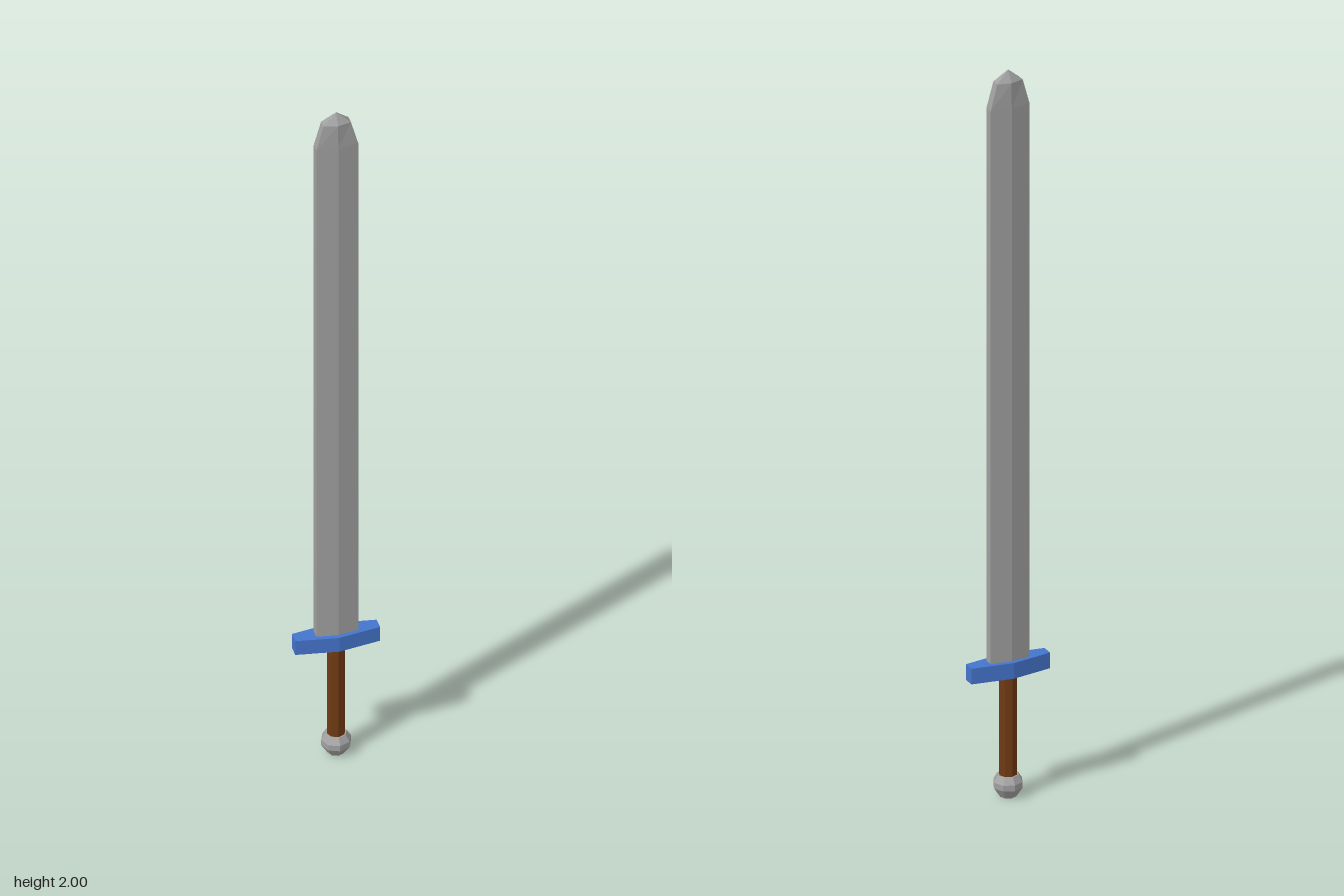
import * as THREE from 'three';

// Six-sided section: half width w, edge half depth e, centre half depth d
const hexRing = (y, w, e, d) =>
  [[0, d], [w, e], [w, -e], [0, -d], [-w, -e], [-w, e]].map(([x, z]) => [x, y, z]);

// Joins six-sided sections from bottom to top and closes both ends
function loft(rings) {
  const pos = [];
  const tri = (a, b, c) => pos.push(...a, ...b, ...c);
  for (let i = 0; i < rings.length - 1; i++) {
    const low = rings[i], high = rings[i + 1];
    for (let k = 0; k < 6; k++) {
      const n = (k + 1) % 6;
      tri(low[k], low[n], high[n]);
      tri(low[k], high[n], high[k]);
    }
  }
  const bottom = rings[0], top = rings[rings.length - 1];
  for (let k = 1; k < 5; k++) {
    tri(bottom[0], bottom[k + 1], bottom[k]);
    tri(top[0], top[k], top[k + 1]);
  }
  const geometry = new THREE.BufferGeometry();
  geometry.setAttribute('position', new THREE.Float32BufferAttribute(pos, 3));
  geometry.computeVertexNormals();
  return geometry;
}

export function createModel() {
  const sword = new THREE.Group();
  sword.name = 'sword';
  const material = (name, color) =>
    new THREE.MeshStandardMaterial({ name, color, flatShading: true });
  const steel = material('steel', 0xa0a0a0);
  const blue = material('blue', 0x4474cc);
  const brown = material('brown leather', 0x6e3a14);

  const add = (name, geometry, mat) => {
    const mesh = new THREE.Mesh(geometry, mat);
    mesh.name = name;
    sword.add(mesh);
    return mesh;
  };

  // Blade with a central ridge, tapering in two steps to a point
  add('blade', loft([
    hexRing(0.375, 0.055, 0.012, 0.021),
    hexRing(1.9, 0.055, 0.012, 0.021),
    hexRing(1.97, 0.036, 0.011, 0.02),
    hexRing(2, 0.0005, 0.0002, 0.0005),
  ]), steel);

  // Crossguard, thickest in the middle
  add('crossguard', loft([
    hexRing(0.334, 0.111, 0.016, 0.033),
    hexRing(0.377, 0.111, 0.016, 0.033),
  ]), blue);

  // Eight-sided grip
  add('grip', new THREE.CylinderGeometry(0.024, 0.024, 0.28, 8), brown).position.y = 0.195;

  // Faceted pommel
  const profile = [[0, 0], [0.022, 0], [0.039, 0.026], [0.039, 0.042], [0.028, 0.06], [0, 0.06]]
    .map(([r, y]) => new THREE.Vector2(r, y));
  add('pommel', new THREE.LatheGeometry(profile, 8), steel);

  return sword;
}
